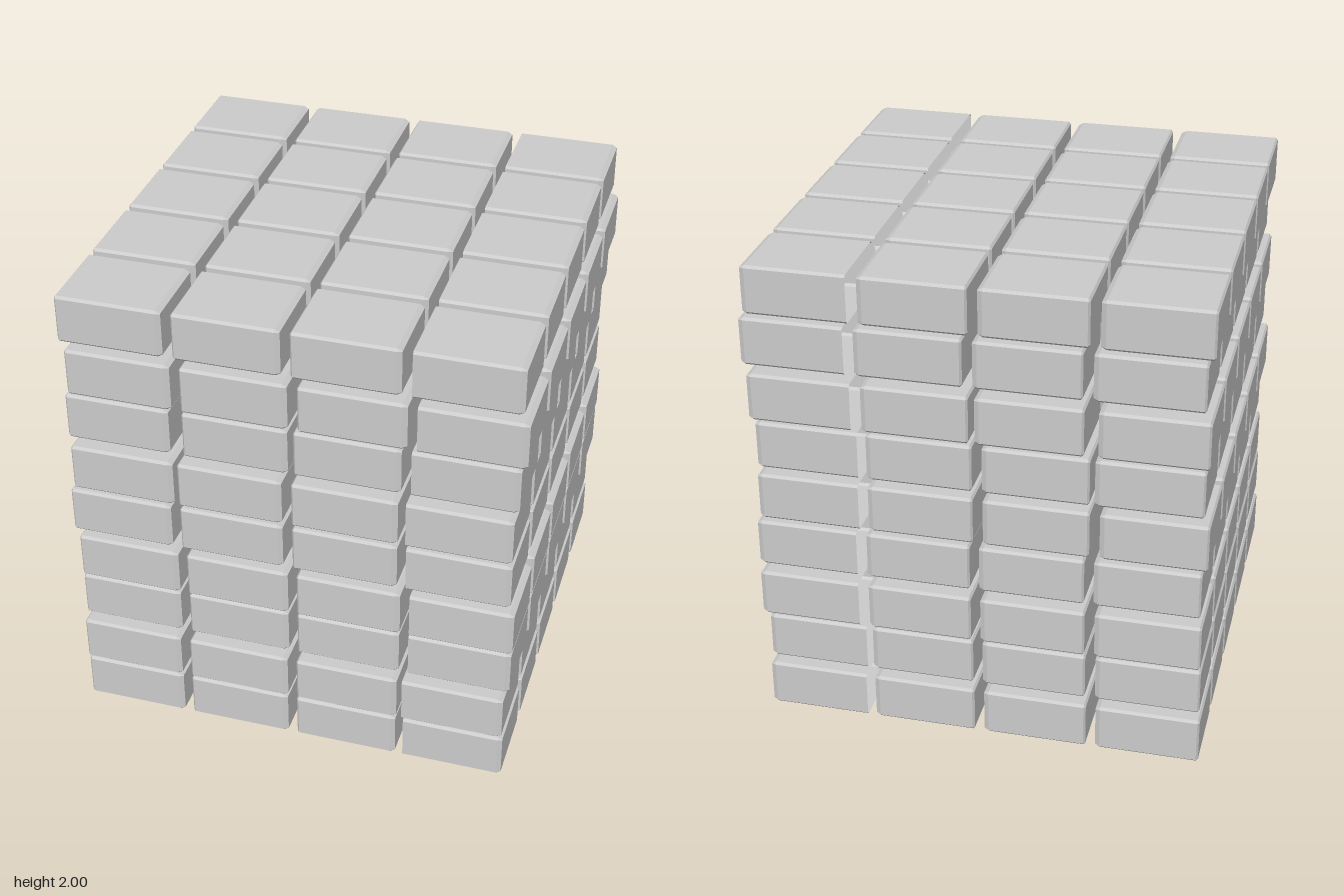
import * as THREE from 'three';

const W = 0.425, H = 0.2, D = 0.342;   // brick size
const STEP_Y = 0.225, STEP_Z = 0.379;  // spacing of courses and rows

// Each course, bottom to top: left edge of its four columns, then its shift in z
const COURSES = [
  { x: [-0.925, -0.46, 0.005, 0.457], z: -0.01 },
  { x: [-0.917, -0.45, 0.014, 0.455], z: 0.012 },
  { x: [-0.915, -0.45, 0.014, 0.472], z: -0.015 },
  { x: [-0.903, -0.44, 0.023, 0.48], z: 0.012 },
  { x: [-0.925, -0.46, 0.005, 0.46], z: 0.002 },
  { x: [-0.9, -0.455, 0.01, 0.46], z: 0.017 },
  { x: [-0.915, -0.435, 0.014, 0.472], z: -0.01 },
  { x: [-0.888, -0.423, 0.042, 0.498], z: 0.017 },
  { x: [-0.915, -0.45, 0.014, 0.472], z: 0.002 },
];

// Octagonal cross-section in the yz plane
function section(x, inset, c) {
  const h = H / 2 - inset, d = D / 2 - inset;
  return [
    [h - c, d], [h, d - c], [h, c - d], [h - c, -d],
    [c - h, -d], [-h, c - d], [-h, d - c], [c - h, d],
  ].map(([y, z]) => new THREE.Vector3(x, y, z));
}

// Chamfered brick lofted along x; an open brick has no left end
function brickGeometry(open) {
  const rings = [
    section(0.008, 0, 0.01),
    section(W - 0.02, 0, 0.01),
    section(W, 0.011, 0.002),
  ];
  if (!open) rings.unshift(section(0, 0.01, 0.002));
  const points = [];
  for (let r = 0; r < rings.length - 1; r++) {
    for (let i = 0; i < 8; i++) {
      const j = (i + 1) % 8;
      const a = rings[r][i], b = rings[r][j], c = rings[r + 1][j], d = rings[r + 1][i];
      points.push(a, b, c, a, c, d);
    }
  }
  // End caps
  const first = rings[0], last = rings[rings.length - 1];
  for (let i = 1; i < 7; i++) {
    if (!open) points.push(first[0], first[i + 1], first[i]);
    points.push(last[0], last[i], last[i + 1]);
  }
  const geometry = new THREE.BufferGeometry().setFromPoints(points);
  // Face outwards: the first side quad must point up and forward
  const n = new THREE.Triangle(points[0], points[1], points[2]).getNormal(new THREE.Vector3());
  if (n.y + n.z < 0) {
    for (let i = 0; i < points.length; i += 3) {
      [points[i + 1], points[i + 2]] = [points[i + 2], points[i + 1]];
    }
    geometry.setFromPoints(points);
  }
  geometry.computeVertexNormals();
  return geometry;
}

export function createModel() {
  const model = new THREE.Group();
  model.name = 'brickStack';
  const material = new THREE.MeshStandardMaterial({
    color: 0xcccccc, flatShading: true, side: THREE.DoubleSide,
  });
  const closedBrick = brickGeometry(false);
  const openBrick = brickGeometry(true);

  COURSES.forEach((course, level) => {
    const layer = new THREE.Group();
    layer.name = 'course' + (level + 1);
    layer.position.set(0, H / 2 + level * STEP_Y, course.z);
    course.x.forEach((x, column) => {
      for (let row = 0; row < 5; row++) {
        const brick = new THREE.Mesh(column === 3 ? openBrick : closedBrick, material);
        brick.name = 'brick';
        brick.position.set(x, 0, (row - 2) * STEP_Z);
        layer.add(brick);
      }
    });
    model.add(layer);
  });
  return model;
}
